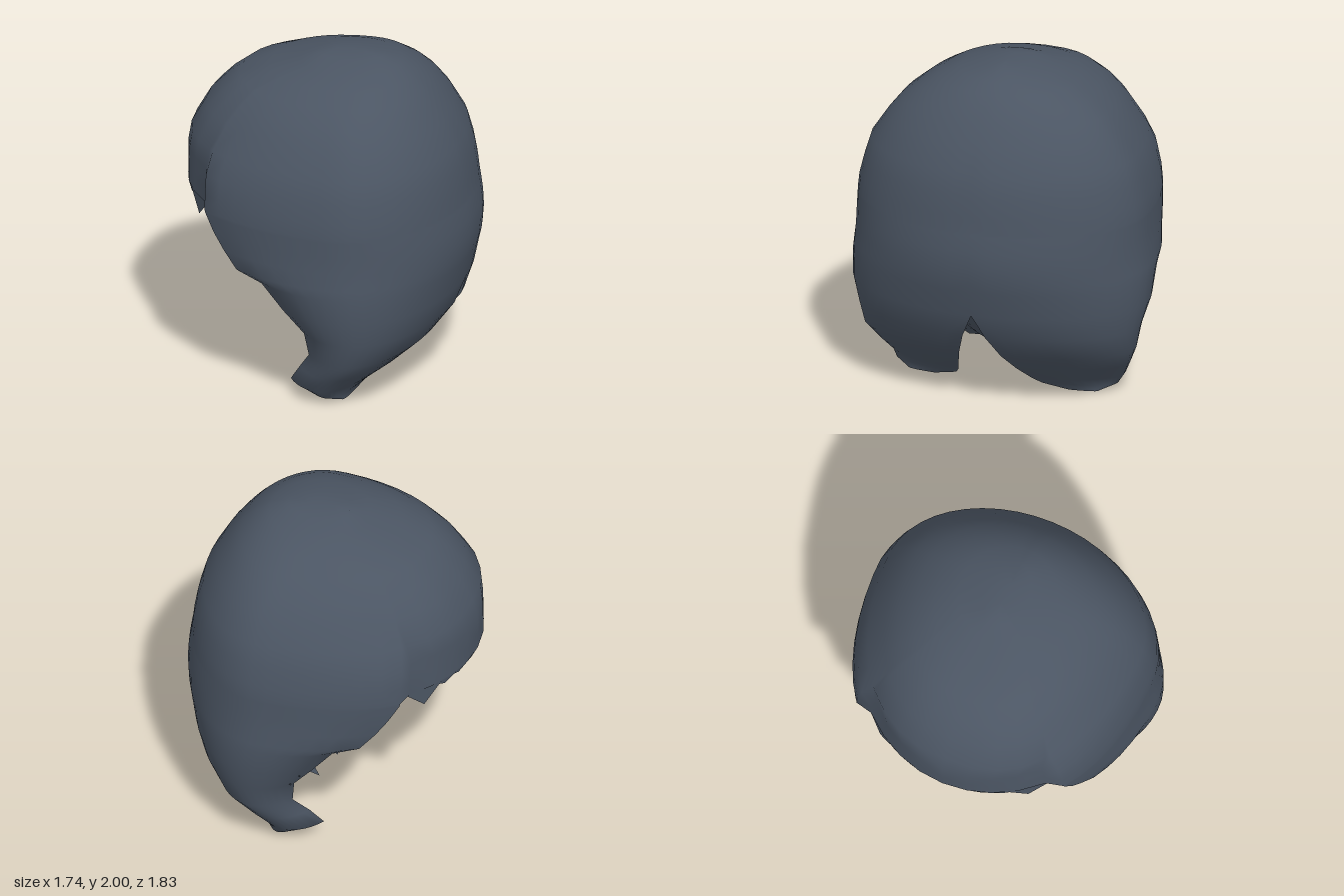
import * as THREE from 'three';
import { mergeVertices } from 'three/addons/utils/BufferGeometryUtils.js';

const hair = new THREE.MeshStandardMaterial({ color: 0x4b5563, side: THREE.DoubleSide });
hair.name = 'slate hair';

const TEMPLE = 0.72; // angle from the face to the temple
const FRINGE = 5, SIDE = 18; // columns over the fringe and over the side

// Dome sections: y, front x, back x, half width, centre x
const dome = [
  [2.0, 0, 0.18, 0, 0.1], [1.985, -0.1, 0.3, 0.13, 0.1], [1.95, -0.19, 0.41, 0.29, 0.12],
  [1.9, -0.38, 0.49, 0.42, 0.14], [1.83, -0.56, 0.57, 0.53, 0.16], [1.75, -0.66, 0.63, 0.63, 0.18],
  [1.65, -0.755, 0.7, 0.71, 0.2], [1.5, -0.84, 0.78, 0.81, 0.2], [1.37, -0.87, 0.815, 0.85, 0.2],
  [1.25, -0.87, 0.835, 0.88, 0.2], [1.16, -0.87, 0.845, 0.89, 0.2],
];
// Side sections: y, x of the front edge, back x, half width, centre x, front angle, notch half width
const sides = [
  [1.14, -0.6, 0.85, 0.89, 0.2, 0.72, 0], [1.04, -0.54, 0.865, 0.895, 0.2, 0.78, 0],
  [0.94, -0.47, 0.87, 0.9, 0.2, 0.82, 0], [0.84, -0.38, 0.86, 0.912, 0.2, 0.88, 0],
  [0.78, -0.22, 0.845, 0.915, 0.22, 0.92, 0], [0.62, -0.09, 0.81, 0.91, 0.25, 0.92, 0],
  [0.47, 0.03, 0.76, 0.87, 0.28, 0.92, 0.07], [0.32, 0.05, 0.65, 0.84, 0.28, 0.9, 0.13],
  [0.2, -0.03, 0.52, 0.78, 0.2, 0.82, 0.18], [0.09, -0.1, 0.38, 0.72, 0.12, 0.8, 0.23],
  [0.04, 0.02, 0.31, 0.69, 0.15, 0.82, 0.27], [0, 0.17, 0.27, 0.59, 0.22, 0.9, 0.42],
];

const rows = [
  ...dome.map(([y, xf, xb, zm, cx]) => ({ y, xb, zm, cx, af: cx - xf, start: TEMPLE, end: Math.PI, full: true })),
  ...sides.map(([y, xe, xb, zm, cx, start, notch]) => ({
    y, xb, zm, cx, af: (cx - xe) / Math.cos(start), start, end: Math.PI - Math.asin(notch / zm), full: false,
  })),
];

// Point on a section, angle 0 at the face and PI at the back.
// The front is squared off, with a step between fringe and temple low down.
function onSection(r, angle, scale = 1) {
  const c = Math.cos(angle);
  let power = 1;
  if (c > 0 && r.y > 1.4) power = 0.85;
  else if (c > 0 && (!r.full || angle >= TEMPLE)) power = 0.7;
  const z = r.zm * Math.pow(Math.abs(Math.sin(angle)), power);
  return new THREE.Vector3(r.cx - c * scale * (c > 0 ? r.af : r.xb - r.cx), r.y, z * scale);
}

function mesh(name, positions, index) {
  let g = new THREE.BufferGeometry();
  g.setAttribute('position', new THREE.Float32BufferAttribute(positions, 3));
  g.setIndex(index);
  g = mergeVertices(g, 1e-4);
  g.computeVertexNormals();
  const m = new THREE.Mesh(g, hair);
  m.name = name;
  return m;
}

// Outer shell, both halves joined along the middle
function buildShell() {
  const pos = [], idx = [], cols = FRINGE + SIDE + 1;
  for (const s of [1, -1]) {
    const base = pos.length / 3;
    rows.forEach((r, i) => {
      for (let j = 0; j < cols; j++) {
        const a = j < FRINGE
          ? (r.full ? r.start * 0.95 * j / (FRINGE - 1) : r.start)
          : r.start + (r.end - r.start) * (j - FRINGE) / SIDE;
        const p = onSection(r, a);
        pos.push(p.x, p.y, Math.abs(p.z) < 1e-6 ? 0 : p.z * s);
        if (i === rows.length - 1 || j === cols - 1) continue;
        if (j < FRINGE && !rows[i + 1].full) continue;
        const q = base + i * cols + j, d = q + cols;
        if (s > 0) idx.push(q, d, q + 1, q + 1, d, d + 1);
        else idx.push(q, q + 1, d, q + 1, d + 1, d);
      }
    });
  }
  return mesh('hairShell', pos, idx);
}

// Pointed locks hanging from the fringe
function buildFringe() {
  const pos = [], idx = [], r = rows[dome.length - 1];
  const locks = [[0, 0.2, 0.1, 1.14], [0.15, 0.35, 0.26, 1.13], [0.3, 0.5, 0.4, 1.12], [0.44, 0.71, 0.57, 1.04]];
  for (const s of [1, -1]) {
    for (const [a, b, tip, y] of locks) {
      const n = pos.length / 3;
      for (const p of [onSection(r, a), onSection(r, b), onSection({ ...r, y }, tip, 0.99)]) pos.push(p.x, p.y, p.z * s);
      idx.push(...(s > 0 ? [n, n + 2, n + 1] : [n, n + 1, n + 2]));
    }
  }
  return mesh('fringeLocks', pos, idx);
}

// Inner nape layer with a ragged lower edge
function buildNape() {
  const pos = [], idx = [], n = 24, levels = 5;
  for (let j = 0; j <= n; j++) {
    const s = j / n * 2 - 1, bend = s * s, tooth = (j % 2) * (1 - bend);
    const top = new THREE.Vector3(0.76 - 0.6 * bend, 0.78, 0.8 * s);
    const mid = new THREE.Vector3(0.62 - 0.46 * bend, 0.46, 0.74 * s);
    const low = new THREE.Vector3(0.25 - 0.15 * bend - 0.1 * tooth, 0.255 + 0.1 * bend - 0.025 * tooth, 0.62 * s);
    const curve = new THREE.QuadraticBezierCurve3(top, mid, low);
    for (let i = 0; i <= levels; i++) {
      pos.push(...curve.getPoint(i / levels).toArray());
      if (j === n || i === levels) continue;
      const q = j * (levels + 1) + i, d = q + levels + 1;
      idx.push(q, d, q + 1, q + 1, d, d + 1);
    }
  }
  return mesh('napeLayer', pos, idx);
}

// Tapered three-sided lock from a root to a tip
function lock(root, tip, radius) {
  const dir = tip.clone().sub(root);
  const g = new THREE.ConeGeometry(radius, dir.length(), 3).toNonIndexed();
  g.computeVertexNormals();
  const m = new THREE.Mesh(g, hair);
  m.name = 'lock';
  m.quaternion.setFromUnitVectors(new THREE.Vector3(0, 1, 0), dir.normalize());
  m.position.copy(root).add(tip).multiplyScalar(0.5);
  return m;
}

// Short locks turned inwards along the edge of the face opening
function buildInnerLocks() {
  const group = new THREE.Group();
  group.name = 'innerLocks';
  const edge = new THREE.CatmullRomCurve3(rows.slice(dome.length + 1, dome.length + 8).map(r => onSection(r, r.start + 0.16, 0.95)));
  for (const s of [1, -1]) {
    for (let i = 0; i < 10; i++) {
      const root = edge.getPoint(i / 9);
      const tip = root.clone().add(new THREE.Vector3(0.06 + 0.05 * (i % 3), -0.05 - 0.03 * (i % 2), -0.16 - 0.05 * (i % 2)));
      root.z *= s;
      tip.z *= s;
      group.add(lock(root, tip, 0.055));
    }
    // Small tuft showing in front of the lower side hair
    group.add(lock(new THREE.Vector3(0.08, 0.47, 0.5 * s), new THREE.Vector3(-0.03, 0.32, 0.44 * s), 0.06));
  }
  return group;
}

export function createModel() {
  const model = new THREE.Group();
  model.name = 'hair';
  model.add(buildShell(), buildFringe(), buildNape(), buildInnerLocks());
  return model;
}
